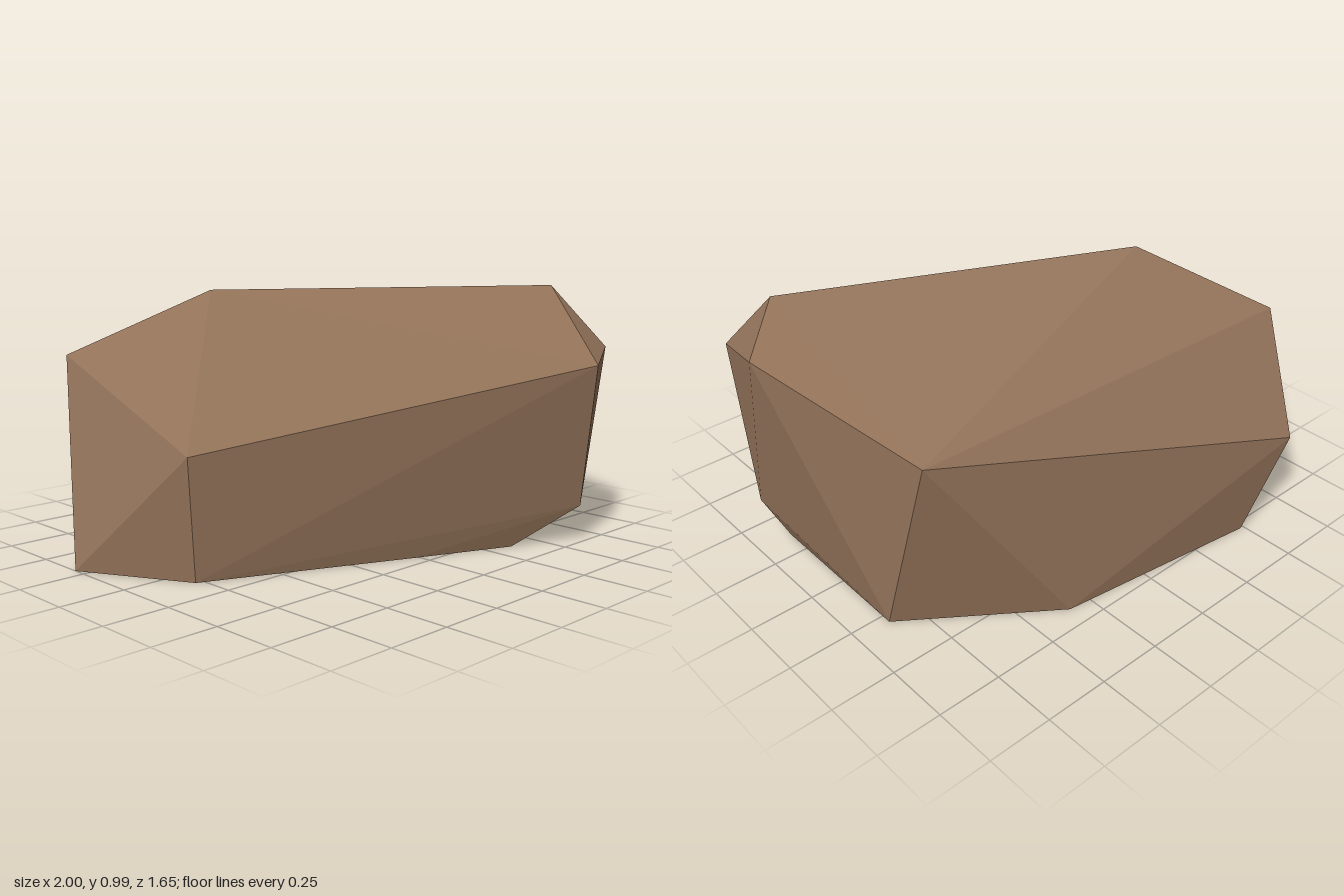
import * as THREE from 'three';
import { ConvexGeometry } from 'three/addons/geometries/ConvexGeometry.js';

// Corners of the boulder, from the ground ring up to the crown
const GROUND = [
  [-1, 0, -0.3], [-0.78, 0, 0.11], [-0.02, 0, 0.44], [0.36, 0, 0.6],
  [0.86, 0, 0.36], [0.865, 0, -0.29], [0.34, 0, -0.67], [-0.485, 0, -0.78],
];
const SIDES = [
  [0.6, 0.145, 0.745], [0.91, 0.13, 0.475], [-0.67, 0.37, -0.825], [-0.82, 0.45, 0.13],
];
const CROWN = [
  [0.565, 0.7, 0.825], [0.87, 0.735, 0.66], [1, 0.89, 0.235], [0.77, 0.975, 0.46],
  [0.835, 0.755, -0.495], [-0.865, 0.745, -0.525], [-0.5, 0.985, -0.13],
];

// Faceted shell around the corners, left open where it sits on the ground
function openShell(corners) {
  const hull = new ConvexGeometry(corners.map((c) => new THREE.Vector3(...c)));
  const p = hull.attributes.position;
  const kept = [];
  for (let i = 0; i < p.count; i += 3) {
    if (Math.max(p.getY(i), p.getY(i + 1), p.getY(i + 2)) < 1e-4) continue;
    for (let j = i; j < i + 3; j++) kept.push(p.getX(j), p.getY(j), p.getZ(j));
  }
  const shell = new THREE.BufferGeometry();
  shell.setAttribute('position', new THREE.Float32BufferAttribute(kept, 3));
  shell.computeVertexNormals();
  return shell;
}

export function createModel() {
  const stone = new THREE.MeshStandardMaterial({
    name: 'brown stone', color: 0x94745a, flatShading: true, side: THREE.DoubleSide,
  });
  const boulder = new THREE.Mesh(openShell([...GROUND, ...SIDES, ...CROWN]), stone);
  boulder.name = 'boulder';

  const model = new THREE.Group();
  model.name = 'rock';
  model.add(boulder);
  return model;
}
